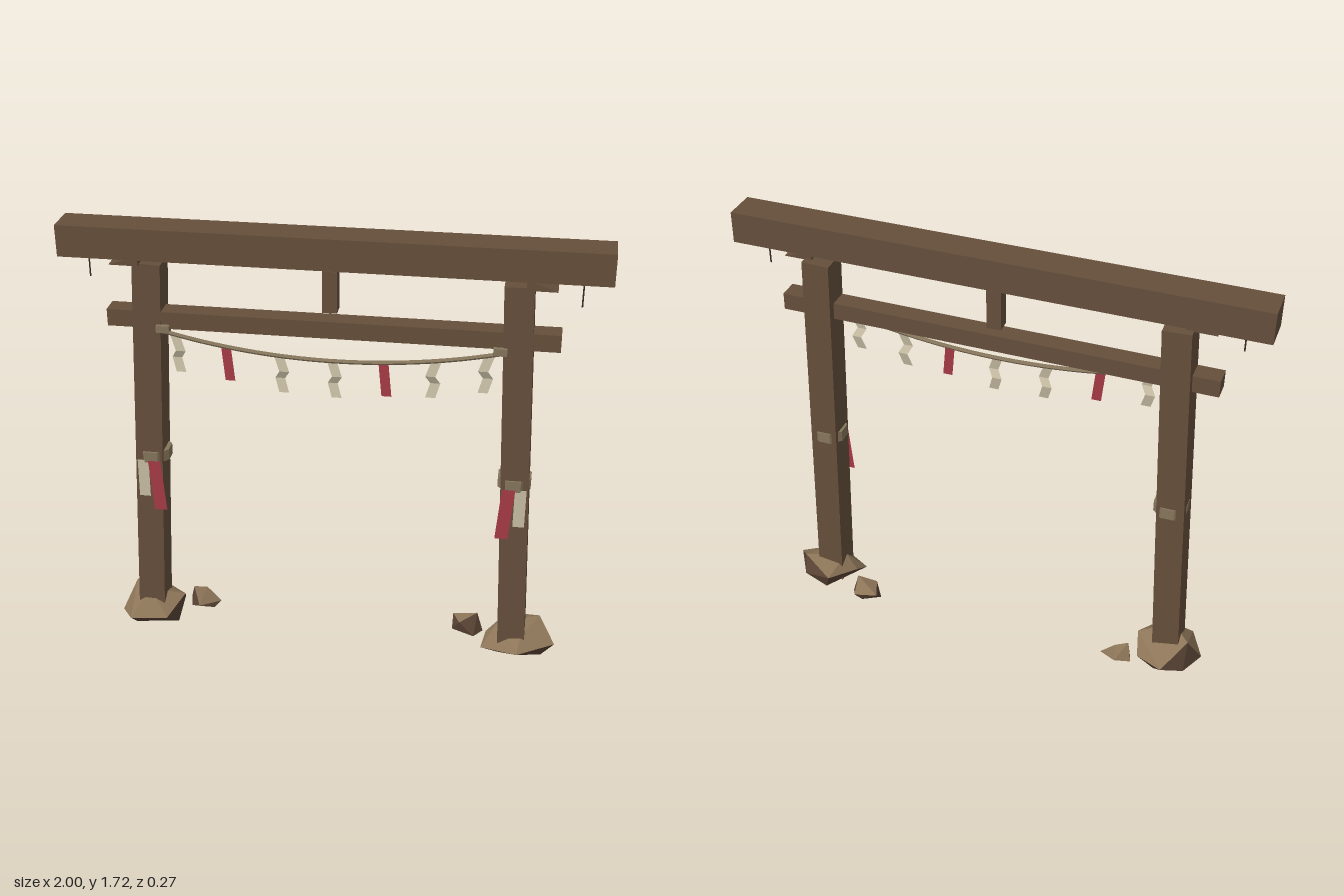
import * as THREE from 'three';
import { ConvexGeometry } from 'three/addons/geometries/ConvexGeometry.js';

const mat = (name, color, side = THREE.FrontSide) => {
  const m = new THREE.MeshStandardMaterial({ color, side, flatShading: true });
  m.name = name;
  return m;
};

export function createModel() {
  const wood = mat('weathered wood', 0x664f3b);
  const ropeMat = mat('straw rope', 0x86765c);
  const iron = mat('dark iron', 0x3a2e26);
  const stoneDark = mat('stone side', 0x5a4435);
  const stoneLight = mat('stone top', 0x8c7558);
  const paper = mat('pale paper', 0xc8bea4, THREE.DoubleSide);
  const red = mat('red cloth', 0xa63a45, THREE.DoubleSide);

  const model = new THREE.Group();
  model.name = 'woodenGate';
  const add = (name, geometry, material, x = 0, y = 0, z = 0) => {
    const mesh = new THREE.Mesh(geometry, material);
    mesh.name = name;
    mesh.position.set(x, y, z);
    model.add(mesh);
    return mesh;
  };

  // Horizontal beams, both slightly tilted
  add('topBeam', new THREE.BoxGeometry(2, 0.12, 0.13), wood, 0, 1.668, 0.002).rotation.z = 0.0065;
  add('lowerBeam', new THREE.BoxGeometry(1.67, 0.066, 0.076), wood, 0, 1.37, 0.008).rotation.z = 0.008;
  add('centreStrut', new THREE.BoxGeometry(0.055, 0.16, 0.055), wood, -0.002, 1.51, 0);

  // Ribbon through a list of [x, y, z] centre points
  const ribbon = (width, points) => {
    const g = new THREE.PlaneGeometry(width, 1, 1, points.length - 1);
    const p = g.attributes.position;
    for (let i = 0; i < p.count; i++) {
      const [x, y, z] = points[Math.floor(i / 2)];
      p.setXYZ(i, p.getX(i) + x, y, z);
    }
    const flat = g.toNonIndexed();
    flat.computeVertexNormals();
    return flat;
  };

  for (const s of [-1, 1]) {
    const side = s > 0 ? 'left' : 'right';

    // Leaning post
    const foot = new THREE.Vector3(s * 0.735, 0.03, 0.018);
    const head = new THREE.Vector3(s * 0.675, 1.582, -0.01);
    const dir = head.clone().sub(foot);
    const post = add(side + 'Post', new THREE.BoxGeometry(0.106, dir.length(), 0.112), wood);
    post.position.copy(foot).lerp(head, 0.5);
    post.quaternion.setFromUnitVectors(new THREE.Vector3(0, 1, 0), dir.normalize());

    // Eight-sided band around the post
    const band = add(side + 'PostBand', new THREE.CylinderGeometry(0.0675, 0.0675, 0.045, 8), ropeMat,
      s * 0.7 + 0.003, 0.788, 0.005);
    band.rotation.y = Math.PI / 8;

    // Wedge under the top beam
    const wedge = new THREE.Shape([[0.81, 1.58], [0.7, 1.58], [0.7, 1.615], [0.735, 1.607]]
      .map(([x, y]) => new THREE.Vector2(s * x, y)));
    add(side + 'Wedge', new THREE.ExtrudeGeometry(wedge, { depth: 0.1, bevelEnabled: false }), wood, 0, 0, -0.038);

    // Iron hanger at the beam end
    add(side + 'Hanger', new THREE.CylinderGeometry(0.003, 0.003, 0.11, 5), iron, s * 0.897, 1.565, 0.012);

    // Strips hung from the band
    add(side + 'PostPaper', ribbon(0.044, [[0, 0.775, 0.066], [0, 0.615, 0.068]]), paper, s * 0.73);
    add(side + 'PostCloth', ribbon(0.05, [[s * 0.685, 0.775, 0.07], [s * 0.668, 0.56, 0.073]]), red);

    // Rope knot
    add(side + 'RopeKnot', new THREE.BoxGeometry(0.05, 0.028, 0.03), ropeMat, s * 0.622, 1.335, 0.048);
  }

  // Sagging rope
  const ropeY = (x) => 1.252 + 0.078 * (x / 0.64) ** 2;
  const ropePoints = [];
  for (let i = 0; i <= 8; i++) {
    const x = -0.64 + 0.16 * i;
    ropePoints.push(new THREE.Vector3(x, ropeY(x), 0.055));
  }
  add('rope', new THREE.TubeGeometry(new THREE.CatmullRomCurve3(ropePoints), 24, 0.008, 6), ropeMat);

  // Zigzag papers and red cloths on the rope
  const zigzag = [[-0.01, 0, 0], [0.01, -0.058, 0.008], [-0.008, -0.09, -0.006], [0.008, -0.145, 0.004]];
  const drop = [[-0.006, 0, 0], [0.008, -0.132, 0.006]];
  [-0.565, -0.378, -0.175, 0.022, 0.208, 0.385, 0.575].forEach((x, i) => {
    const isRed = i === 1 || i === 4;
    const flip = x > 0.3 ? -1 : 1;
    const points = (isRed ? drop : zigzag).map(([a, b, c]) => [a * flip, b, c]);
    add(isRed ? 'ropeCloth' : 'ropePaper', ribbon(0.037, points), isRed ? red : paper, x, ropeY(x), 0.058);
  });

  // Faceted stones: hull of a few points, upward facets lighter
  const stone = (name, points) => {
    const g = new ConvexGeometry(points.map((p) => new THREE.Vector3(...p)));
    const n = g.attributes.normal;
    for (let i = 0; i < n.count; i += 3) g.addGroup(i, 3, n.getY(i) > 0.4 ? 1 : 0);
    add(name, g, [stoneDark, stoneLight]);
  };
  stone('rightFootStone', [
    [-0.87, 0.03, 0.03], [-0.82, 0.145, -0.03], [-0.74, 0.155, 0.05], [-0.61, 0.115, 0],
    [-0.81, 0.06, 0.13], [-0.66, 0.07, 0.12], [-0.74, 0.07, -0.14], [-0.63, 0.01, 0.05],
    [-0.8, 0.01, 0.08], [-0.82, 0.03, -0.075], [-0.63, 0.05, -0.075], [-0.7, 0.01, -0.08],
  ]);
  stone('leftFootStone', [
    [0.615, 0.035, 0.065], [0.63, 0.07, 0], [0.68, 0.135, 0.01], [0.84, 0.135, -0.05],
    [0.905, 0.065, 0.04], [0.76, 0.06, 0.128], [0.855, 0.01, 0.04], [0.68, 0.01, 0.05],
    [0.71, 0.09, -0.115], [0.83, 0.06, -0.085], [0.74, 0.01, -0.08], [0.77, 0.105, 0.07],
  ]);
  stone('rightSmallStone', [
    [-0.61, 0.035, -0.1], [-0.59, 0.105, -0.07], [-0.54, 0.095, -0.09], [-0.48, 0.035, -0.085],
    [-0.55, 0.05, -0.13], [-0.505, 0.015, -0.06], [-0.6, 0.015, -0.06], [-0.56, 0.04, -0.025],
  ]);
  stone('leftSmallStone', [
    [0.49, 0.015, -0.07], [0.49, 0.06, -0.115], [0.59, 0.105, -0.07], [0.615, 0.02, -0.07],
    [0.585, 0.05, -0.13], [0.52, 0.07, -0.04], [0.58, 0.015, -0.03], [0.56, 0.015, -0.11],
  ]);

  return model;
}
